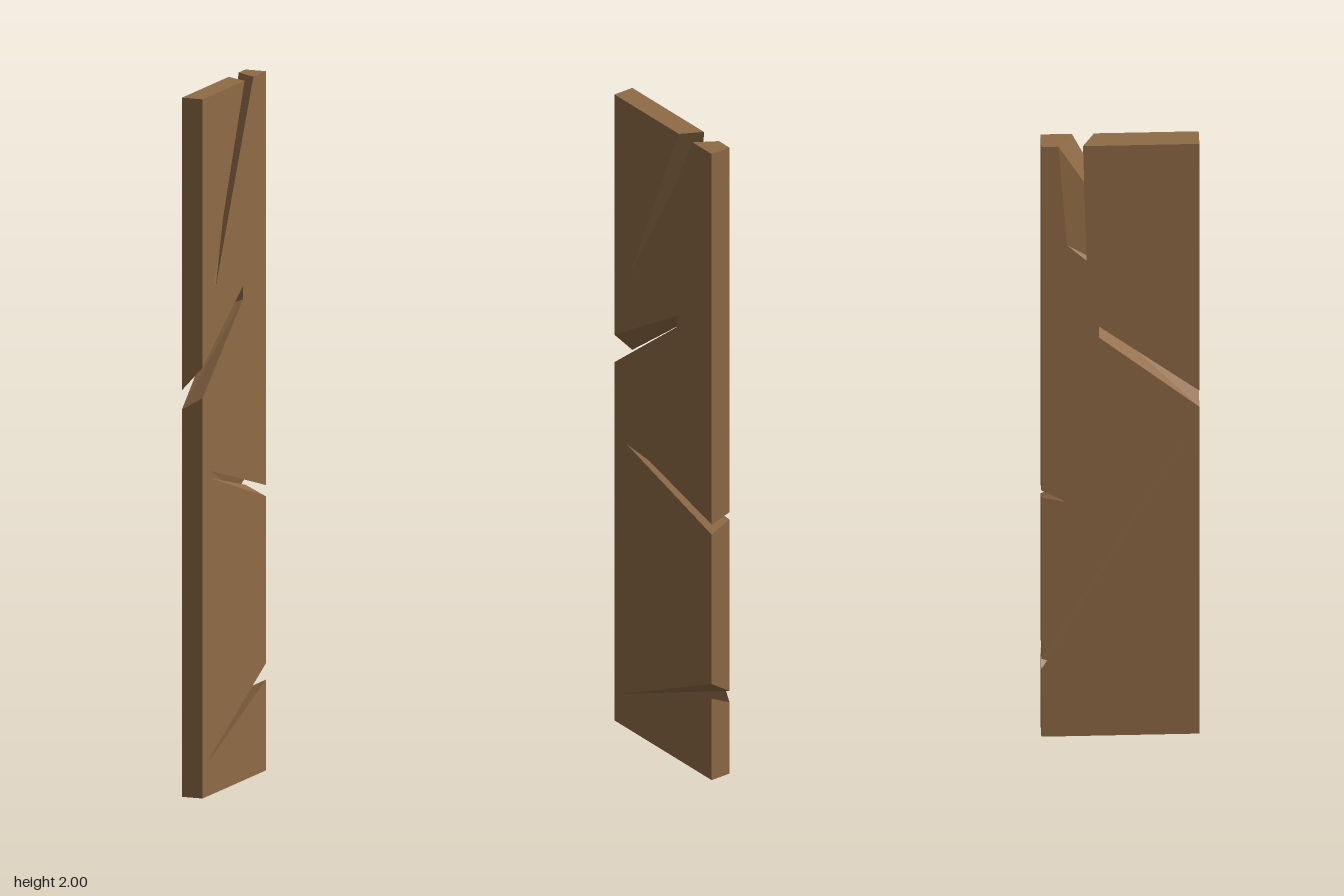
import * as THREE from 'three';

const HALF_T = 0.0315, HALF_W = 0.222, HEIGHT = 2;

// Each cut: four [z, y] points (edge, tip, tip, edge) on the left (+x) face,
// then the matching four on the right (-x) face. Listed around the outline.
const cuts = {
  lowerSlit: {
    left: [[-HALF_W, 0.26], [0.191, 0.094], [0.191, 0.098], [-HALF_W, 0.307]],
    right: [[-HALF_W, 0.228], [0.195, 1.027], [0.193, 1.03], [-HALF_W, 0.264]],
  },
  middleGroove: {
    left: [[-HALF_W, 0.784], [0.165, 0.906], [0.165, 0.927], [-HALF_W, 0.816]],
    right: [[-HALF_W, 0.812], [-0.16, 0.796], [-0.16, 0.8], [-HALF_W, 0.835]],
  },
  topSplit: {
    left: [[-0.134, HEIGHT], [0.13, 1.446], [0.148, 1.467], [-0.072, HEIGHT]],
    right: [[-0.174, HEIGHT], [-0.15, 1.665], [-0.095, 1.611], [-0.105, HEIGHT]],
  },
  frontNotch: {
    left: [[HALF_W, 1.232], [-0.06, 1.414], [-0.06, 1.377], [HALF_W, 1.145]],
    right: [[HALF_W, 1.163], [-0.06, 1.387], [-0.06, 1.35], [HALF_W, 1.108]],
  },
};

// Outline of one broad face, counter-clockwise seen from +x
function outline(side) {
  return [
    [HALF_W, 0], [-HALF_W, 0],
    ...cuts.lowerSlit[side], ...cuts.middleGroove[side],
    [-HALF_W, HEIGHT],
    ...cuts.topSplit[side],
    [HALF_W, HEIGHT],
    ...cuts.frontNotch[side],
  ];
}

// Joins two outlines of equal length into a closed slab
function slabGeometry(left, right) {
  const positions = [];
  const L = (i) => [HALF_T, left[i][1], left[i][0]];
  const R = (i) => [-HALF_T, right[i][1], right[i][0]];
  const tri = (a, b, c) => positions.push(...a, ...b, ...c);
  const flat = (pts) => pts.map(([z, y]) => new THREE.Vector2(-z, y));

  // Broad faces
  for (const [a, b, c] of THREE.ShapeUtils.triangulateShape(flat(left), [])) tri(L(a), L(b), L(c));
  for (const [a, b, c] of THREE.ShapeUtils.triangulateShape(flat(right), [])) tri(R(c), R(b), R(a));

  // Edges and cut walls; walls running into a cut fold along the other diagonal
  const intoCut = new Set([2, 6, 11, 16]);
  const n = left.length;
  for (let i = 0; i < n; i++) {
    const j = (i + 1) % n;
    if (intoCut.has(i)) {
      tri(L(i), R(i), L(j));
      tri(R(i), R(j), L(j));
    } else {
      tri(L(i), R(i), R(j));
      tri(L(i), R(j), L(j));
    }
  }
  const geometry = new THREE.BufferGeometry();
  geometry.setAttribute('position', new THREE.Float32BufferAttribute(positions, 3));
  geometry.computeVertexNormals();
  return geometry;
}

export function createModel() {
  const group = new THREE.Group();
  group.name = 'splitPlank';

  const wood = new THREE.MeshStandardMaterial({ color: 0x8f6b46 });
  wood.name = 'brownWood';
  wood.flatShading = true;

  const plank = new THREE.Mesh(slabGeometry(outline('left'), outline('right')), wood);
  plank.name = 'plank';
  group.add(plank);
  return group;
}
